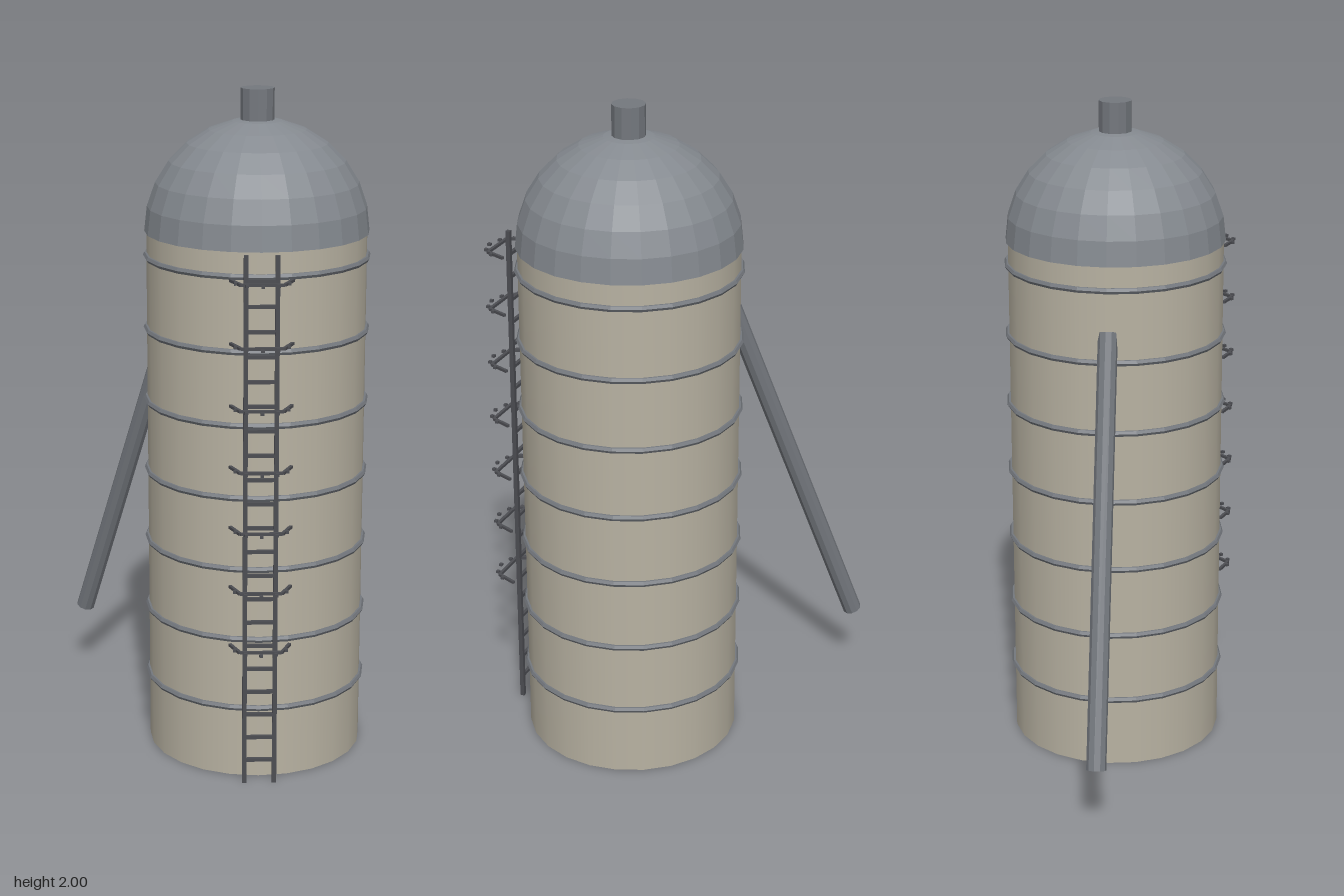
import * as THREE from 'three';

const CX = 0.117, CZ = 0.055;   // silo axis
const WALL = 1.585, R = 0.323;  // wall height and radius

const mat = (color, flatShading = false) => {
  const m = new THREE.MeshStandardMaterial({ color });
  m.flatShading = flatShading;
  return m;
};

export function createModel() {
  const model = new THREE.Group();
  const wallMat = mat(0xb8b2a2);
  const roofMat = mat(0x858a90, true);
  const steelMat = mat(0x74787e, true);
  const ladderMat = mat(0x4c4d52, true);

  const add = (parent, name, geo, material, x, y, z) => {
    const mesh = new THREE.Mesh(geo, material);
    mesh.name = name;
    mesh.position.set(x, y, z);
    parent.add(mesh);
    return mesh;
  };
  const group = (name) => {
    const g = new THREE.Group();
    g.name = name;
    model.add(g);
    return g;
  };
  // Square bar between two points
  const bar = (parent, name, a, b, w, h) => {
    const mesh = add(parent, name, new THREE.BoxGeometry(w, h, a.distanceTo(b)), ladderMat, 0, 0, 0);
    mesh.position.copy(a).lerp(b, 0.5);
    mesh.lookAt(b);
    return mesh;
  };

  // Tank wall, domed roof and vent
  add(model, 'wall', new THREE.CylinderGeometry(R, R, WALL, 24), wallMat, CX, WALL / 2, CZ);
  add(model, 'domeRoof', new THREE.SphereGeometry(0.329, 24, 7, 0, Math.PI * 2, 0, Math.PI / 2),
    roofMat, CX, WALL, CZ);
  add(model, 'domeBase', new THREE.CircleGeometry(0.329, 24), roofMat, CX, WALL, CZ).rotation.x = Math.PI / 2;
  add(model, 'roofVent', new THREE.CylinderGeometry(0.049, 0.049, 0.12, 12), steelMat, CX, 1.94, CZ);

  // Seven reinforcing bands
  const bands = group('bands');
  for (let i = 0; i < 7; i++) {
    const geo = new THREE.TorusGeometry(R + 0.001, 0.0095, 6, 24);
    geo.rotateX(Math.PI / 2);
    add(bands, 'band', geo, steelMat, CX, 0.217 + i * 0.2162, CZ);
  }

  // Sloping chute that enters the back of the wall
  const low = new THREE.Vector3(-0.425, 0.217, -0.485);
  const high = new THREE.Vector3(-0.1, 1.385, -0.16);
  const chute = add(model, 'chute', new THREE.CylinderGeometry(0.029, 0.029, low.distanceTo(high), 10),
    steelMat, 0, 0, 0);
  chute.position.copy(low).lerp(high, 0.5);
  chute.quaternion.setFromUnitVectors(new THREE.Vector3(0, 1, 0), high.clone().sub(low).normalize());

  // Ladder
  const ladder = group('ladder');
  const LZ = 0.422;
  for (const s of [-1, 1]) {
    add(ladder, 'ladderRail', new THREE.BoxGeometry(0.013, WALL, 0.013), ladderMat, CX + s * 0.044, WALL / 2, LZ);
  }
  for (let i = 1; i <= 21; i++) {
    add(ladder, 'rung', new THREE.BoxGeometry(0.088, 0.01, 0.01), ladderMat, CX, i * 0.072, LZ);
  }

  // Safety hoops with small studs around them
  const hoops = group('safetyHoops');
  const outline = [[-0.087, 0.42], [-0.06, 0.483], [0.06, 0.483], [0.087, 0.42]];
  const studs = [[-0.074, 0.465], [-0.044, 0.497], [0, 0.509], [0.044, 0.497], [0.074, 0.465]];
  for (let i = 0; i < 7; i++) {
    const y = 0.435 + i * 0.18;
    const pts = outline.map(([x, z]) => new THREE.Vector3(CX + x, y, z));
    for (let k = 0; k < 3; k++) bar(hoops, 'hoopBar', pts[k], pts[k + 1], 0.009, 0.008);
    for (const [x, z] of studs) {
      add(hoops, 'hoopStud', new THREE.BoxGeometry(0.01, 0.008, 0.01), ladderMat, CX + x, y, z);
    }
  }
  return model;
}
